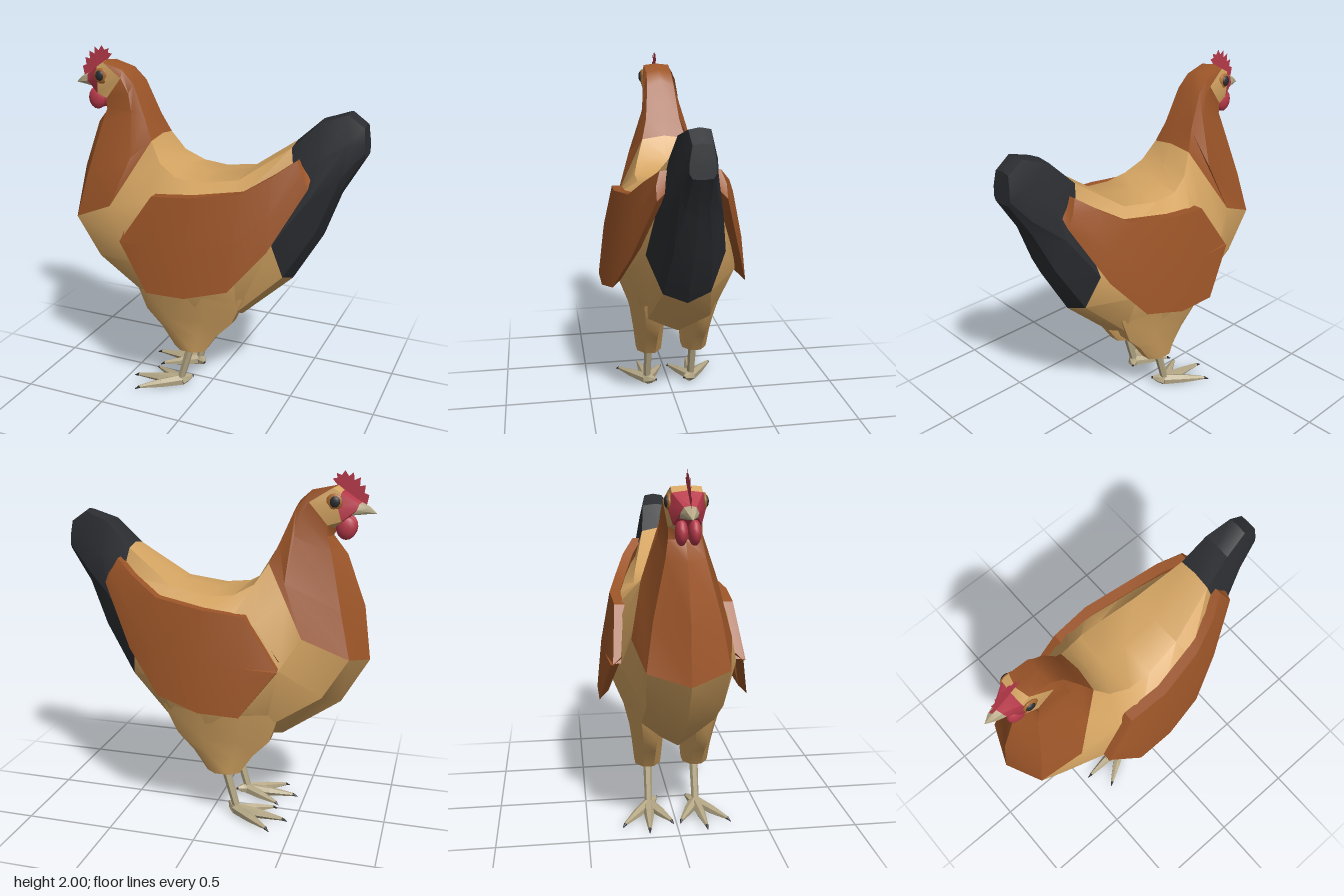
import * as THREE from 'three';
import { toCreasedNormals } from 'three/addons/utils/BufferGeometryUtils.js';

const paint = (color, side = THREE.FrontSide) => new THREE.MeshStandardMaterial({ color, side });
const brown = paint(0x9c5528), tan = paint(0xd4a462), black = paint(0x2b2d31);
const red = paint(0xb83a4a), horn = paint(0xb5a886), amber = paint(0xa8682e);
const combRed = paint(0xb83a4a, THREE.DoubleSide);

function add(parent, name, geometry, material) {
  const mesh = new THREE.Mesh(geometry, material);
  mesh.name = name;
  parent.add(mesh);
  return mesh;
}

// Skin over closed rings of [x, y, z] points, with optional end caps
function loft(rings, capStart = false, capEnd = false, crease = 0.6) {
  const pos = [];
  const v = (p) => new THREE.Vector3(...p);
  const tri = (a, b, c) => {
    const n = v(b).sub(v(a)).cross(v(c).sub(v(a)));
    if (n.length() > 1e-8) pos.push(...a, ...b, ...c);
  };
  const count = rings[0].length;
  for (let i = 0; i < rings.length - 1; i++) {
    for (let j = 0; j < count; j++) {
      const k = (j + 1) % count;
      tri(rings[i][j], rings[i][k], rings[i + 1][j]);
      tri(rings[i][k], rings[i + 1][k], rings[i + 1][j]);
    }
  }
  const cap = (ring, start) => {
    const c = [0, 1, 2].map((a) => ring.reduce((sum, p) => sum + p[a], 0) / count);
    ring.forEach((p, j) => {
      const q = ring[(j + 1) % count];
      if (start) tri(c, q, p); else tri(c, p, q);
    });
  };
  if (capStart) cap(rings[0], true);
  if (capEnd) cap(rings[rings.length - 1], false);
  const geometry = new THREE.BufferGeometry();
  geometry.setAttribute('position', new THREE.Float32BufferAttribute(pos, 3));
  return toCreasedNormals(geometry, crease);
}

// Complete half rings (top, side points, bottom) with their mirrored side
const whole = (halves) => halves.map((h) =>
  [...h, ...h.slice(1, -1).reverse().map(([x, y, z]) => [x, y, -z])]);

// Mirror whole rings to the other side, keeping faces outward
const onSide = (rings, s) => s > 0 ? rings
  : rings.map((r) => r.map(([x, y, z]) => [x, y, -z]).reverse());

// Tapered rod between two points
function rod(parent, name, a, b, r0, r1, material, sides = 6) {
  const from = new THREE.Vector3(...a), to = new THREE.Vector3(...b);
  const dir = to.clone().sub(from);
  const geo = toCreasedNormals(new THREE.CylinderGeometry(r1, r0, dir.length(), sides), 0.6);
  const mesh = add(parent, name, geo, material);
  mesh.position.copy(from).add(to).multiplyScalar(0.5);
  mesh.quaternion.setFromUnitVectors(new THREE.Vector3(0, 1, 0), dir.normalize());
}

function ball(parent, name, p, scale, material) {
  const mesh = add(parent, name, new THREE.SphereGeometry(1, 12, 8), material);
  mesh.position.set(...p);
  mesh.scale.set(...scale);
}

function buildHead(group) {
  const head = new THREE.Group();
  head.name = 'head';
  group.add(head);
  const tip = [-0.865, 1.78, 0];
  const beakBase = [[-0.785, 1.838, 0], [-0.775, 1.83, 0.03], [-0.765, 1.8, 0.045], [-0.74, 1.775, 0.045], [-0.73, 1.765, 0]];
  const cheek = [[-0.69, 1.9, 0], [-0.685, 1.89, 0.075], [-0.67, 1.82, 0.095], [-0.69, 1.74, 0.07], [-0.69, 1.71, 0]];
  add(head, 'beak', loft(whole([Array(5).fill(tip),
    [[-0.83, 1.815, 0], [-0.825, 1.81, 0.02], [-0.815, 1.79, 0.027], [-0.81, 1.78, 0.022], [-0.81, 1.775, 0]],
    beakBase])), horn);
  add(head, 'redFace', loft(whole([beakBase, cheek])), red);
  add(head, 'cheeks', loft(whole([cheek, hoodRim])), tan);

  // Thin serrated comb
  const comb = new THREE.Shape([
    [-0.81, 1.82], [-0.82, 1.875], [-0.795, 1.885], [-0.8, 1.925], [-0.77, 1.92], [-0.772, 1.965],
    [-0.74, 1.95], [-0.735, 1.99], [-0.71, 1.97], [-0.69, 2.0], [-0.673, 1.975], [-0.645, 1.985],
    [-0.65, 1.96], [-0.625, 1.955], [-0.655, 1.92], [-0.7, 1.88],
  ].map((p) => new THREE.Vector2(...p)));
  add(head, 'comb', new THREE.ShapeGeometry(comb), combRed);

  for (const s of [1, -1]) {
    ball(head, 'iris', [-0.65, 1.843, s * 0.086], [0.045, 0.045, 0.014], amber);
    ball(head, 'eye', [-0.655, 1.845, s * 0.094], [0.028, 0.03, 0.014], black);
    ball(head, 'wattle', [-0.712, 1.705, s * 0.032], [0.055, 0.065, 0.032], red);
  }
}

const hoodRim = [[-0.66, 1.922, 0], [-0.64, 1.915, 0.075], [-0.52, 1.84, 0.098], [-0.62, 1.72, 0.085], [-0.66, 1.69, 0]];
const tailBase = [[0.49, 1.57, 0], [0.49, 1.55, 0.1], [0.52, 1.4, 0.14], [0.43, 1.03, 0.215], [0.47, 0.82, 0.13], [0.49, 0.77, 0]];

function buildTorso(group) {
  // Neck feathers, from the hood down to the breast
  add(group, 'neck', loft(whole([hoodRim,
    [[-0.52, 1.895, 0], [-0.52, 1.88, 0.075], [-0.47, 1.76, 0.105], [-0.62, 1.66, 0.085], [-0.645, 1.66, 0]],
    [[-0.46, 1.84, 0], [-0.45, 1.81, 0.08], [-0.45, 1.66, 0.115], [-0.65, 1.57, 0.1], [-0.725, 1.56, 0]],
    [[-0.37, 1.63, 0], [-0.37, 1.62, 0.1], [-0.42, 1.42, 0.2], [-0.72, 1.28, 0.17], [-0.83, 1.28, 0]],
    [[-0.31, 1.53, 0], [-0.32, 1.51, 0.13], [-0.53, 1.14, 0.26], [-0.78, 1.03, 0.21], [-0.87, 0.98, 0]],
  ])), brown);

  // Breast, back and belly
  add(group, 'body', loft(whole([
    [[-0.31, 1.53, 0], [-0.32, 1.51, 0.13], [-0.425, 1.325, 0.195], [-0.53, 1.14, 0.26], [-0.78, 1.03, 0.21], [-0.87, 0.98, 0]],
    [[-0.25, 1.42, 0], [-0.25, 1.4, 0.17], [-0.29, 1.2, 0.28], [-0.42, 0.97, 0.31], [-0.64, 0.8, 0.2], [-0.72, 0.72, 0]],
    [[-0.16, 1.36, 0], [-0.14, 1.34, 0.2], [-0.15, 1.22, 0.318], [-0.18, 0.85, 0.35], [-0.33, 0.59, 0.2], [-0.39, 0.49, 0]],
    [[0, 1.34, 0], [0, 1.325, 0.2], [0, 1.24, 0.318], [0, 0.85, 0.355], [0, 0.55, 0.24], [-0.1, 0.46, 0]],
    [[0.21, 1.375, 0], [0.22, 1.36, 0.17], [0.25, 1.27, 0.265], [0.25, 0.87, 0.31], [0.22, 0.58, 0.18], [0.19, 0.49, 0]],
    tailBase,
  ])), tan);

  add(group, 'tail', loft(whole([tailBase,
    [[0.63, 1.7, 0], [0.63, 1.69, 0.08], [0.65, 1.5, 0.12], [0.6, 1.28, 0.16], [0.64, 1.1, 0.1], [0.66, 1.06, 0]],
    [[0.77, 1.75, 0], [0.77, 1.74, 0.055], [0.79, 1.6, 0.085], [0.76, 1.42, 0.09], [0.75, 1.34, 0.06], [0.75, 1.31, 0]],
    [[0.855, 1.69, 0], [0.857, 1.68, 0.05], [0.865, 1.6, 0.065], [0.868, 1.55, 0.065], [0.87, 1.525, 0.05], [0.87, 1.52, 0]],
  ]), false, true, 0.4), black);
}

function buildWing(group, s) {
  // Upper and lower outer edge at each column, thickened inward
  const columns = [
    [[-0.42, 0.98, 0.348], [-0.42, 0.97, 0.35]],
    [[-0.23, 1.255, 0.325], [-0.23, 0.72, 0.415]],
    [[0, 1.28, 0.335], [0, 0.725, 0.415]],
    [[0.27, 1.32, 0.285], [0.24, 0.79, 0.375]],
    [[0.43, 1.42, 0.225], [0.43, 1.02, 0.29]],
    [[0.54, 1.5, 0.155], [0.61, 1.36, 0.18]],
  ].map(([t, b]) => {
    const mid = [(t[0] + b[0]) / 2, (t[1] + b[1]) / 2, (t[2] + b[2]) / 2 + 0.012];
    return [t, mid, b, [b[0], b[1] + 0.05, b[2] - 0.05], [t[0], t[1], t[2] - 0.06]];
  });
  add(group, s > 0 ? 'leftWing' : 'rightWing', loft(onSide(columns, s), true, true), brown);
}

function buildLeg(group, s) {
  const leg = new THREE.Group();
  leg.name = s > 0 ? 'leftLeg' : 'rightLeg';
  group.add(leg);

  // Thigh tapering down: height, centre x, half length, centre z, half width
  const rings = [[0.68, -0.07, 0.34, 0.15, 0.13], [0.5, -0.08, 0.27, 0.145, 0.09],
    [0.4, -0.08, 0.175, 0.14, 0.082], [0.28, -0.08, 0.095, 0.138, 0.072]]
    .map(([y, x, rx, z, rz]) => Array.from({ length: 8 }, (_, i) => {
      const a = (i + 0.5) * Math.PI / 4;
      return [x + rx * 1.08 * Math.cos(a), y, z + rz * 1.08 * Math.sin(a)];
    }));
  add(leg, 'thigh', loft(onSide(rings, s), false, true, 0.8), tan);

  const ankle = [-0.15, 0.06, s * 0.138];
  rod(leg, 'shank', [-0.07, 0.34, s * 0.136], ankle, 0.026, 0.022, horn);
  // Three front toes and one hind toe, each ending in a claw
  const toes = [[-0.43, 0.02, 0.16], [-0.36, 0.02, 0.29], [-0.35, 0.02, 0.03], [-0.1, 0.05, 0.09]];
  for (const [x, y, z] of toes) {
    const tip = [x, y, s * z];
    const at = (t, lift) => ankle.map((c, i) => c + (tip[i] - c) * t + (i === 1 ? lift : 0));
    rod(leg, 'toe', at(0, -0.025), at(0.5, -0.012), 0.034, 0.027, horn);
    rod(leg, 'toe', at(0.5, -0.012), tip, 0.027, 0.01, horn);
    rod(leg, 'claw', tip, at(1.11, -0.007), 0.01, 0.002, black);
  }
}

export function createModel() {
  const hen = new THREE.Group();
  hen.name = 'hen';
  buildTorso(hen);
  buildHead(hen);
  for (const s of [1, -1]) {
    buildWing(hen, s);
    buildLeg(hen, s);
  }
  return hen;
}
